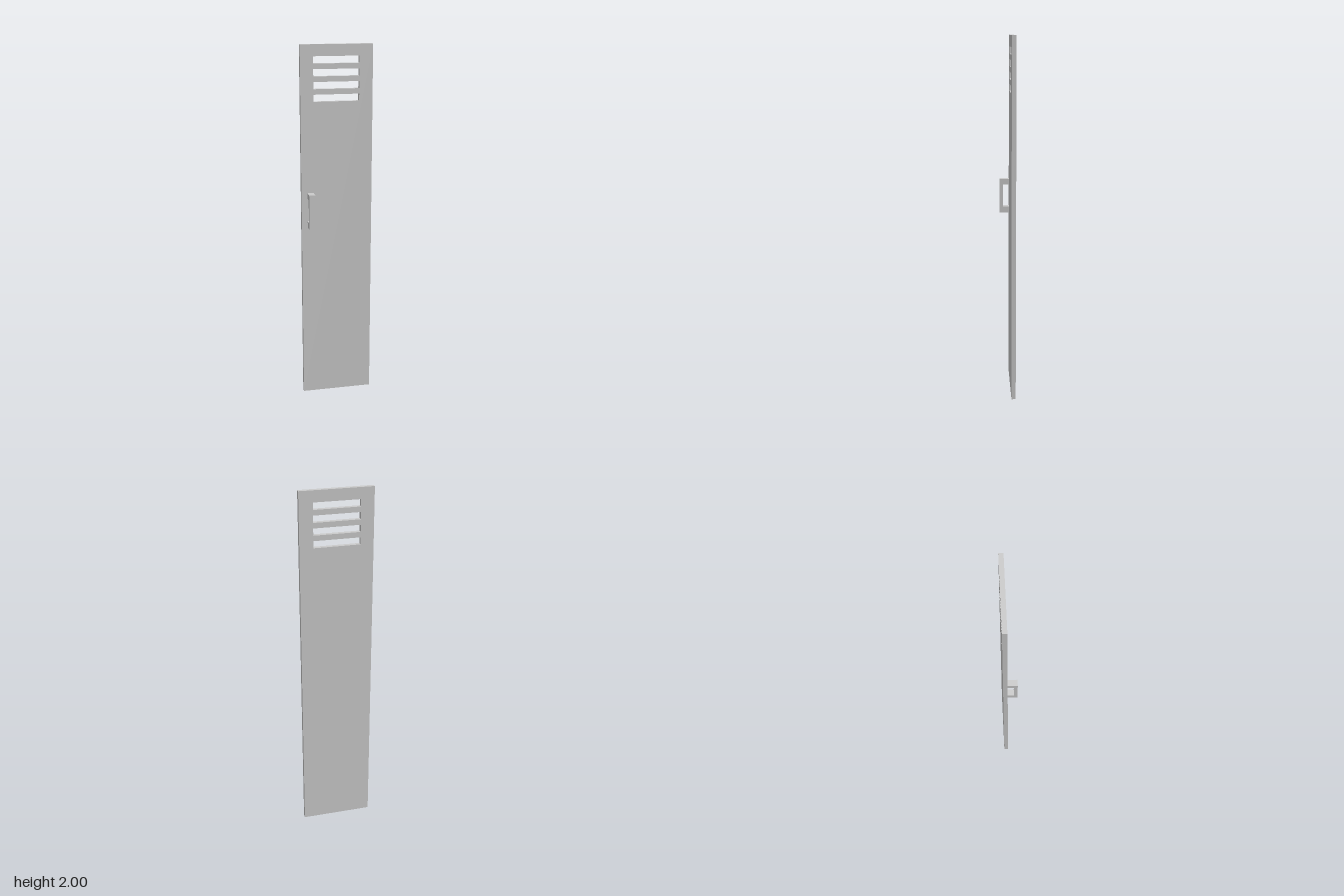
import * as THREE from 'three';

const material = new THREE.MeshStandardMaterial({ color: 0xcccccc, flatShading: true });

// Closed shape from a few corner points
const polygon = (points, Type = THREE.Shape) =>
  new Type(points.map(([x, y]) => new THREE.Vector2(x, y)));

const rectangle = (x0, x1, y0, y1, Type) =>
  polygon([[x0, y0], [x1, y0], [x1, y1], [x0, y1]], Type);

function extruded(name, shape, depth) {
  const geometry = new THREE.ExtrudeGeometry(shape, { depth, bevelEnabled: false });
  const mesh = new THREE.Mesh(geometry, material);
  mesh.name = name;
  return mesh;
}

export function createModel() {
  const model = new THREE.Group();
  model.name = 'lockerDoor';

  // Door panel with four ventilation slots near the top
  const panelShape = rectangle(-0.198, 0.198, 0, 2);
  for (let i = 0; i < 4; i++) {
    const y = 1.699 + i * 0.067;
    panelShape.holes.push(rectangle(-0.127, 0.124, y, y + 0.038, THREE.Path));
  }
  const panel = extruded('doorPanel', panelShape, 0.024);
  panel.position.z = -0.04;
  model.add(panel);

  // C-shaped pull handle: profile drawn as (z, y), extruded across x
  const back = -0.016, inner = 0.02, front = 0.039;
  const handle = extruded('handle', polygon([
    [back, 1.004], [front, 1.004], [front, 1.2], [back, 1.2],
    [back, 1.168], [inner, 1.168], [inner, 1.04], [back, 1.04],
  ]), 0.034);
  handle.rotation.y = -Math.PI / 2;
  handle.position.x = -0.131;
  model.add(handle);

  return model;
}
